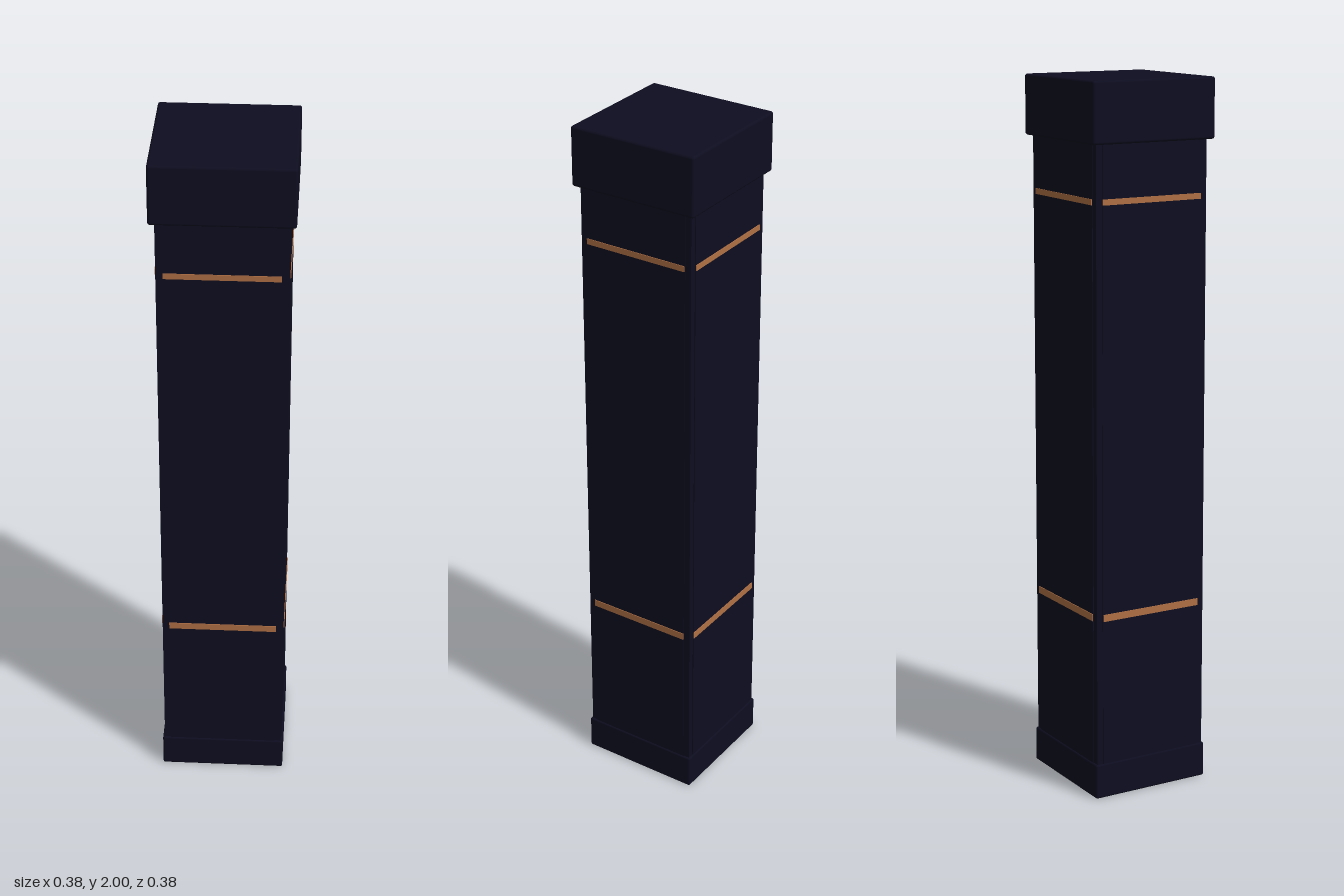
import * as THREE from 'three';
import { RoundedBoxGeometry } from 'three/addons/geometries/RoundedBoxGeometry.js';

export function createModel() {
  const group = new THREE.Group();
  group.name = 'squarePillar';

  const navy = new THREE.MeshStandardMaterial({ color: 0x0d0d20 });
  navy.name = 'midnight navy';
  const copper = new THREE.MeshStandardMaterial({ color: 0xb07045 });
  copper.name = 'copper';

  function add(parent, name, geometry, material, x, y, z) {
    const mesh = new THREE.Mesh(geometry, material);
    mesh.name = name;
    mesh.position.set(x, y, z);
    parent.add(mesh);
  }

  // Square body: softly rounded base and cap around a plain shaft
  add(group, 'base', new RoundedBoxGeometry(0.358, 0.1, 0.358, 2, 0.005), navy, 0, 0.05, 0);
  add(group, 'shaft', new THREE.BoxGeometry(0.346, 1.76, 0.346), navy, 0, 0.97, 0);
  add(group, 'cap', new RoundedBoxGeometry(0.38, 0.167, 0.38, 3, 0.007), navy, 0, 1.9165, 0);

  // Each side carries a thin raised panel and two inlaid bands
  const panel = new THREE.BoxGeometry(0.31, 1.735, 0.004);
  const upperBand = new THREE.BoxGeometry(0.308, 0.016, 0.004);
  const lowerBand = new THREE.BoxGeometry(0.308, 0.02, 0.004);
  for (let i = 0; i < 4; i++) {
    const side = new THREE.Group();
    side.name = 'side' + (i + 1);
    side.rotation.y = (i * Math.PI) / 2;
    add(side, 'panel', panel, navy, 0, 0.967, 0.173);
    add(side, 'upperBand', upperBand, copper, 0, 1.68, 0.175);
    add(side, 'lowerBand', lowerBand, copper, 0, 0.528, 0.175);
    group.add(side);
  }

  return group;
}
